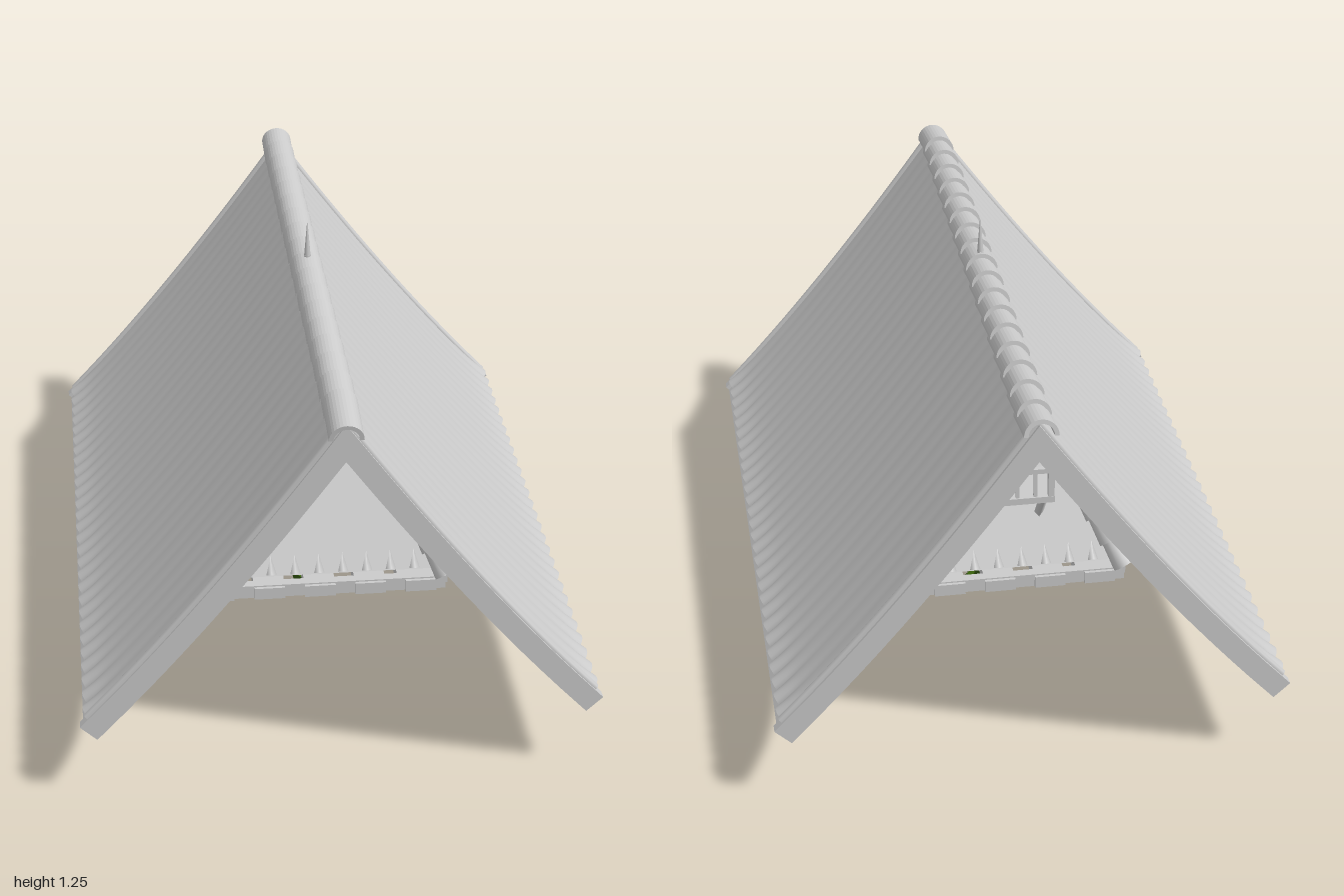
import * as THREE from 'three';
import { mergeGeometries } from 'three/addons/utils/BufferGeometryUtils.js';

const material = (color, name) => {
  const m = new THREE.MeshStandardMaterial({ color, side: THREE.DoubleSide });
  m.name = name;
  return m;
};
const grey = material(0xcacaca, 'pale grey');
const darkGreen = material(0x264409, 'dark ivy green');
const brightGreen = material(0x4a7d10, 'bright ivy green');

const V = (x, y, z) => new THREE.Vector3(x, y, z);
const UP = V(0, 1, 0);
const shapeOf = pts => new THREE.Shape(pts.map(a => new THREE.Vector2(...a)));

// concave slope from the ridge down to the eave
const slope = new THREE.QuadraticBezierCurve(
  new THREE.Vector2(0, 1.12), new THREE.Vector2(0.37, 0.6), new THREE.Vector2(0.69, 0.262));

export function createModel() {
  const model = new THREE.Group();
  let seed = 7;
  const rand = () => (seed = (seed * 16807) % 2147483647) / 2147483647;

  const add = (geo, name, mat = grey, parent = model) => {
    const mesh = new THREE.Mesh(geo, mat);
    mesh.name = name;
    parent.add(mesh);
    return mesh;
  };
  const box = (w, h, d, x, y, z, name) => add(new THREE.BoxGeometry(w, h, d).translate(x, y, z), name);
  const rod = (a, b, r0, r1, name, sides = 8) => {
    const q = new THREE.Quaternion().setFromUnitVectors(UP, b.clone().sub(a).normalize());
    const mid = a.clone().lerp(b, 0.5);
    return add(new THREE.CylinderGeometry(r1, r0, a.distanceTo(b), sides)
      .applyQuaternion(q).translate(mid.x, mid.y, mid.z), name);
  };
  const extrude = (shape, depth, z) =>
    new THREE.ExtrudeGeometry(shape, { depth, bevelEnabled: false, curveSegments: 8 }).translate(0, 0, z);

  // strip that follows the slope between two depths below it, cut square at its lower end
  const band = (side, d0, d1, z0, z1, name, end = 1, ext = 0.03) => {
    const edge = d => {
      const pts = [];
      for (let i = 0; i <= 12; i++) {
        const t = end * i / 12, p = slope.getPoint(t), g = slope.getTangent(t);
        const e = i === 12 ? ext : 0;
        const x = p.x + g.y * d + g.x * e, y = p.y - g.x * d + g.y * e;
        if (i === 0) pts.push(new THREE.Vector2(0, p.y - d / g.x));
        else if (x > 0.002) pts.push(new THREE.Vector2(side * x, y));
      }
      return pts;
    };
    add(extrude(new THREE.Shape([...edge(d0), ...edge(d1).reverse()]), z1 - z0, z0), name);
  };

  // main roof: tile sheet scalloped at the eave, smooth lining, edge boards
  const waves = 28, nz = waves * 6, ns = 20;
  for (const side of [1, -1]) {
    const tiles = new THREE.PlaneGeometry(1, 1, nz, ns);
    const p = tiles.attributes.position;
    for (let i = 0; i < p.count; i++) {
      const u = p.getX(i) + 0.5, t = 0.5 - p.getY(i);
      const c = slope.getPoint(t), g = slope.getTangent(t);
      const h = (0.002 + 0.014 * t ** 16) * Math.abs(Math.sin(u * waves * Math.PI));
      p.setXYZ(i, side * (c.x - g.y * h * Math.min(1, t * 8)), c.y + g.x * h, 0.01 - side * (u - 0.5) * 1.92);
    }
    tiles.computeVertexNormals();
    add(tiles, 'roofTiles');
    band(side, 0.012, 0.055, -0.945, 0.955, 'roofLining');
    for (const end of [1, -1]) {
      const za = end > 0 ? 0.955 : -0.97;
      band(side, 0, 0.062, za, za + 0.028, 'bargeBoard');
      const zb = end > 0 ? 0.885 : -0.9;
      band(side, 0.05, 0.064, zb, zb + 0.025, 'innerRafter');
      // rounded roll along the gable edge
      const path = new THREE.CatmullRomCurve3(
        slope.getPoints(8).map(q => V(side * q.x, q.y, end > 0 ? 0.965 : -0.95)));
      add(new THREE.TubeGeometry(path, 16, 0.012, 8), 'gableRoll');
    }
  }

  // overlapping half-round ridge tiles, each lifted at its rear
  const ridge = new THREE.Group();
  ridge.name = 'ridgeTiles';
  model.add(ridge);
  const half = new THREE.Shape();
  half.absarc(0, 0, 0.046, 0, Math.PI, false);
  half.absarc(0, 0, 0.034, Math.PI, 0, true);
  for (let i = 0; i < 18; i++) {
    const m = add(extrude(half, 0.16, -0.16), 'ridgeTile', grey, ridge);
    m.rotation.x = 0.16;
    m.position.set(0, 1.08, 0.99 - i * 0.1077);
  }

  // finial
  rod(V(0, 1.0, 0), V(0, 1.15, 0), 0.012, 0.01, 'finialPost');
  rod(V(0, 1.14, 0), V(0, 1.25, 0), 0.01, 0.001, 'finialSpike');

  // gable wall and truss across the middle
  const rake = slope.getPoints(8).slice(1, 8).map(q => [q.x, Math.max(0.29, q.y - 0.06)]);
  add(extrude(shapeOf([[0, 1.04], ...rake, [0.6, 0.29], [-0.6, 0.29],
    ...rake.map(([x, y]) => [-x, y]).reverse()]), 0.012, -0.006), 'trussWall');
  box(1.2, 0.035, 0.07, 0, 0.303, 0, 'tieBeam');
  box(0.98, 0.018, 0.05, 0, 0.412, 0, 'upperTieBeam');
  box(0.29, 0.02, 0.06, 0, 0.79, 0, 'collarBeam');
  for (const s of [1, -1]) {
    band(s, 0.04, 0.085, -0.025, 0.025, 'trussRafter', 0.93, 0);
    box(0.03, 0.38, 0.05, s * 0.16, 0.61, 0, 'trussPost');
    const arc = new THREE.QuadraticBezierCurve3(V(s * 0.31, 0.61, 0), V(s * 0.25, 0.57, 0), V(s * 0.22, 0.42, 0));
    add(new THREE.TubeGeometry(arc, 10, 0.02, 4), 'curvedBrace');
    for (let i = 0; i < 6; i++) {
      const x = 0.117 + i * 0.0745;
      const peg = box(0.03, 0.022, 0.08, 0, 0, 0, 'rafterPeg');
      peg.position.set(s * x, 0.85 - (x - 0.117) * 1.27, 0);
      peg.rotation.z = -s * 0.9;
    }
  }

  // inner turret roof: two tiers, four sides
  const tier = (y0, h0, y1, h1, name) => add(new THREE.CylinderGeometry(h1 * Math.SQRT2, h0 * Math.SQRT2, y1 - y0, 4, 1, true)
    .rotateY(Math.PI / 4).toNonIndexed().translate(0, (y0 + y1) / 2, 0), name).geometry.computeVertexNormals();
  tier(0.288, 0.35, 0.75, 0.105, 'lowerTurretRoof');
  tier(0.742, 0.122, 1.015, 0.012, 'upperTurretRoof');
  for (let k = 0; k < 4; k++) {
    const turn = (x, y, z) => V(x, y, z).applyAxisAngle(UP, k * Math.PI / 2);
    const sideBox = (w, h, d, x, y, z, name) => box(w, h, d, x, y, z, name).geometry.rotateY(k * Math.PI / 2);
    const hip = t => turn(0.37 - 0.255 * t, 0.278 + 0.462 * t, 0.37 - 0.255 * t);
    for (let i = 0; i < 7; i++) rod(hip(i / 7), hip((i + 1.25) / 7), 0.036, 0.025, 'hipTile', 10);
    rod(turn(0.112, 0.745, 0.112), V(0, 1.015, 0), 0.016, 0.015, 'upperHip');
    // pointed tile ends along both eaves
    for (let i = -4; i <= 4; i++)
      rod(turn(i * 0.07, 0.29, 0.347), turn(i * 0.07, 0.345, 0.317), 0.017, 0.001, 'turretTileEnd', 4);
    for (let i = -2; i <= 2; i++)
      rod(turn(i * 0.04, 0.743, 0.121), turn(i * 0.04, 0.78, 0.105), 0.007, 0.001, 'upperTileEnd', 4);
    // square eave frame with joists
    sideBox(0.74, 0.04, 0.03, 0, 0.25, 0.355, 'outerFrameBeam');
    sideBox(0.56, 0.04, 0.04, 0, 0.268, 0.255, 'innerFrameBeam');
    for (let i = -2; i <= 2; i++) sideBox(0.09, 0.036, 0.15, i * 0.148, 0.248, 0.305, 'joist');
  }
  rod(V(0, 0.99, 0), V(0, 1.02, 0), 0.018, 0.014, 'turretCap');
  box(0.56, 0.025, 0.1, 0, 0.285, -0.1, 'crossPlank');

  // rear balcony
  box(0.32, 0.02, 0.15, 0, 0.52, -0.29, 'balconyFloor');
  for (const s of [1, -1]) {
    box(0.018, 0.1, 0.018, s * 0.15, 0.57, -0.355, 'railPost');
    box(0.015, 0.015, 0.15, s * 0.15, 0.615, -0.285, 'sideRail');
    rod(V(s * 0.13, 0.42, -0.27), V(s * 0.13, 0.52, -0.35), 0.014, 0.014, 'balconyBracket', 4);
  }
  box(0.315, 0.015, 0.018, 0, 0.615, -0.355, 'frontRail');
  for (let i = -2; i <= 2; i++) box(0.01, 0.09, 0.01, i * 0.052, 0.57, -0.355, 'baluster');

  // forked cloth
  add(extrude(shapeOf([[0.08, 0.28], [0.2, 0.28], [0.2, 0.09], [0.14, 0.135], [0.085, 0.085]]), 0.004, -0.008), 'hangingCloth');

  // hanging ivy: a thin stepped mat with square leaves over it
  add(extrude(shapeOf([[-0.105, 0.29], [0.12, 0.29], [0.12, 0.16], [0.1, 0.16], [0.09, 0.1], [0.05, 0.09], [0.035, 0.03],
    [-0.035, 0.03], [-0.05, 0.09], [-0.1, 0.12]]), 0.006, 0.005), 'ivyMat', darkGreen);
  add(extrude(shapeOf([[-0.22, 0.29], [-0.18, 0.29], [-0.185, 0.18], [-0.21, 0.19]]), 0.006, 0.005), 'sideIvyMat', darkGreen);
  const leaves = { dark: [], bright: [] };
  const leaf = (x, y, z, r, list) => list.push(new THREE.CircleGeometry(r, 4)
    .rotateZ(rand() * 1.5).rotateX(rand() * 0.6 - 0.3).rotateY(rand() * 0.6 - 0.3).translate(x, y, z));
  for (let i = 0; i < 110; i++) {
    const y = 0.02 + 0.25 * Math.sqrt(rand());
    const w = y < 0.09 ? 0.04 : Math.min(0.108, 0.05 + (y - 0.08) * 1.6);
    leaf((rand() * 2 - 1) * w + 0.008, y, 0.008 + (rand() - 0.5) * 0.016, 0.014, leaves.dark);
  }
  for (let i = 0; i < 9; i++) leaf(-0.2 + (rand() - 0.5) * 0.03, 0.165 + i * 0.013, 0.008, 0.014, leaves.dark);
  for (const x of [-0.025, 0.02]) leaf(x, 0.014, 0.008, 0.013, leaves.dark);
  const spots = [[-0.022, 0.1], [0.026, 0.1], [0.1, 0.15], [-0.03, 0.055], [0.03, 0.055], [-0.07, 0.14], [0.005, 0.075]];
  spots.forEach(([x, y], i) => {
    for (const z of [-0.008, 0.024]) leaf(x, y, z, i < 2 ? 0.024 : 0.013, leaves.bright);
  });
  add(mergeGeometries(leaves.dark), 'ivyLeaves', darkGreen);
  add(mergeGeometries(leaves.bright), 'youngIvyLeaves', brightGreen);

  return model;
}
